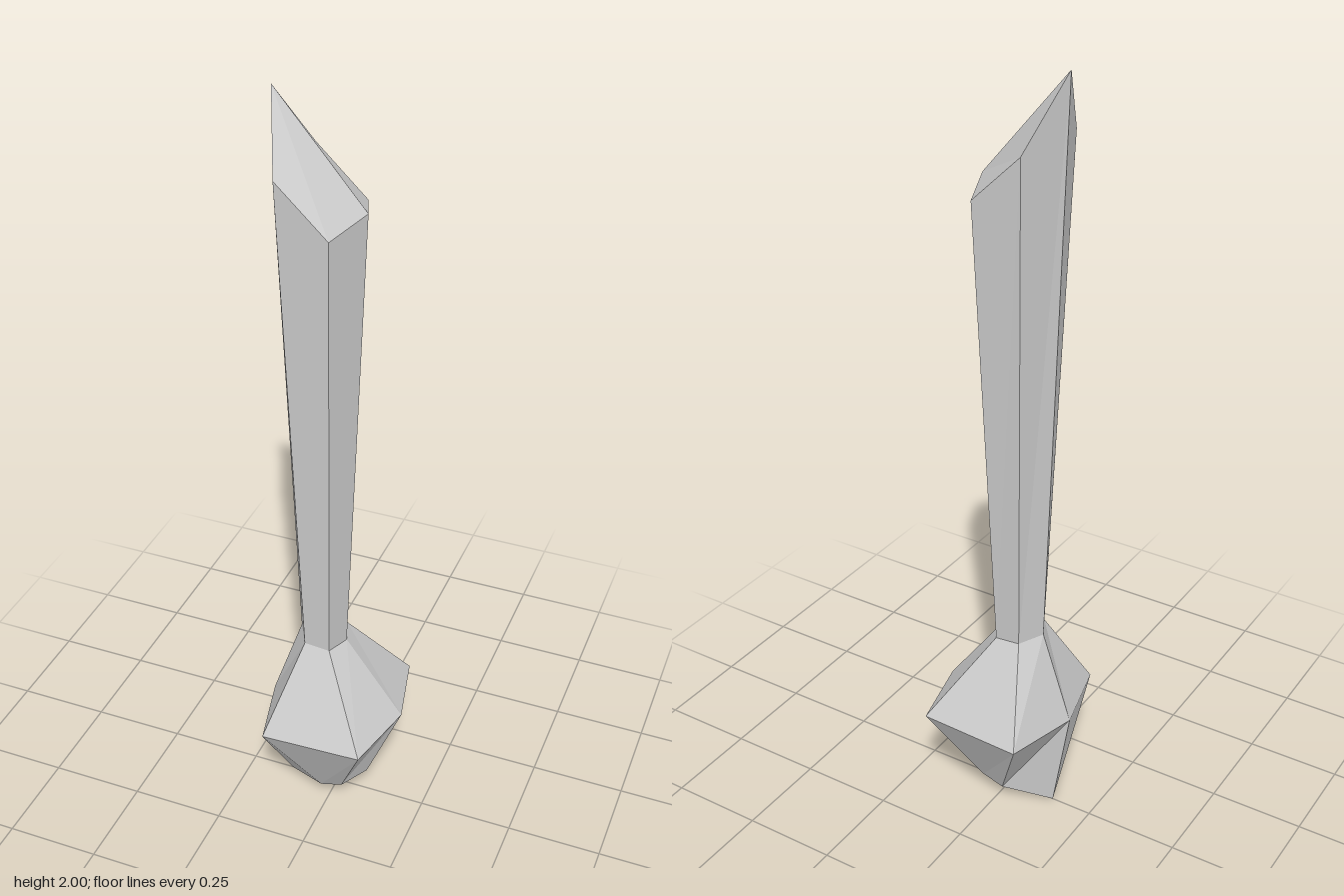
import * as THREE from 'three';

// Six-sided ring, mirrored in z: right tip, right corner pair, left corner pair, left tip.
// Each point is [x, y]; d is the half depth of the corner pairs.
function ring([left, leftCorner, rightCorner, right], d) {
  return [
    [...right, 0], [...rightCorner, -d], [...leftCorner, -d],
    [...left, 0], [...leftCorner, d], [...rightCorner, d],
  ];
}

// Faceted skin between a lower and an upper ring, with optional folded caps
function facetedPart(name, lower, upper, capBottom, capTop) {
  const pos = [];
  const quad = (a, b, c, d) => [a, b, c, a, c, d].forEach((p) => pos.push(...p));
  for (let i = 0; i < 6; i++) {
    const j = (i + 1) % 6;
    quad(lower[i], lower[j], upper[j], upper[i]);
  }
  if (capTop) {
    quad(upper[0], upper[1], upper[2], upper[3]);
    quad(upper[3], upper[4], upper[5], upper[0]);
  }
  if (capBottom) {
    quad(lower[3], lower[2], lower[1], lower[0]);
    quad(lower[0], lower[5], lower[4], lower[3]);
  }
  const geo = new THREE.BufferGeometry();
  geo.setAttribute('position', new THREE.Float32BufferAttribute(pos, 3));
  geo.computeVertexNormals();
  const mesh = new THREE.Mesh(geo, new THREE.MeshStandardMaterial({ color: 0xcccccc, flatShading: true }));
  mesh.name = name;
  return mesh;
}

export function createModel() {
  const foot = ring([[-0.137, 0], [-0.02, 0.042], [0.04, 0.06], [0.087, 0.067]], 0.072);
  const bulge = ring([[-0.184, 0.287], [-0.134, 0.29], [0.136, 0.301], [0.183, 0.304]], 0.199);
  const neck = ring([[-0.101, 0.53], [-0.066, 0.526], [0.002, 0.52], [0.026, 0.517]], 0.064);
  const tip = ring([[-0.153, 2], [-0.101, 1.833], [0.027, 1.712], [0.073, 1.736]], 0.12);

  const group = new THREE.Group();
  group.name = 'facetedClub';
  group.add(
    facetedPart('lowerKnob', foot, bulge, true, false),
    facetedPart('upperKnob', bulge, neck, false, false),
    facetedPart('shaft', neck, tip, false, true), // flares upward to a slanted point
  );
  return group;
}
